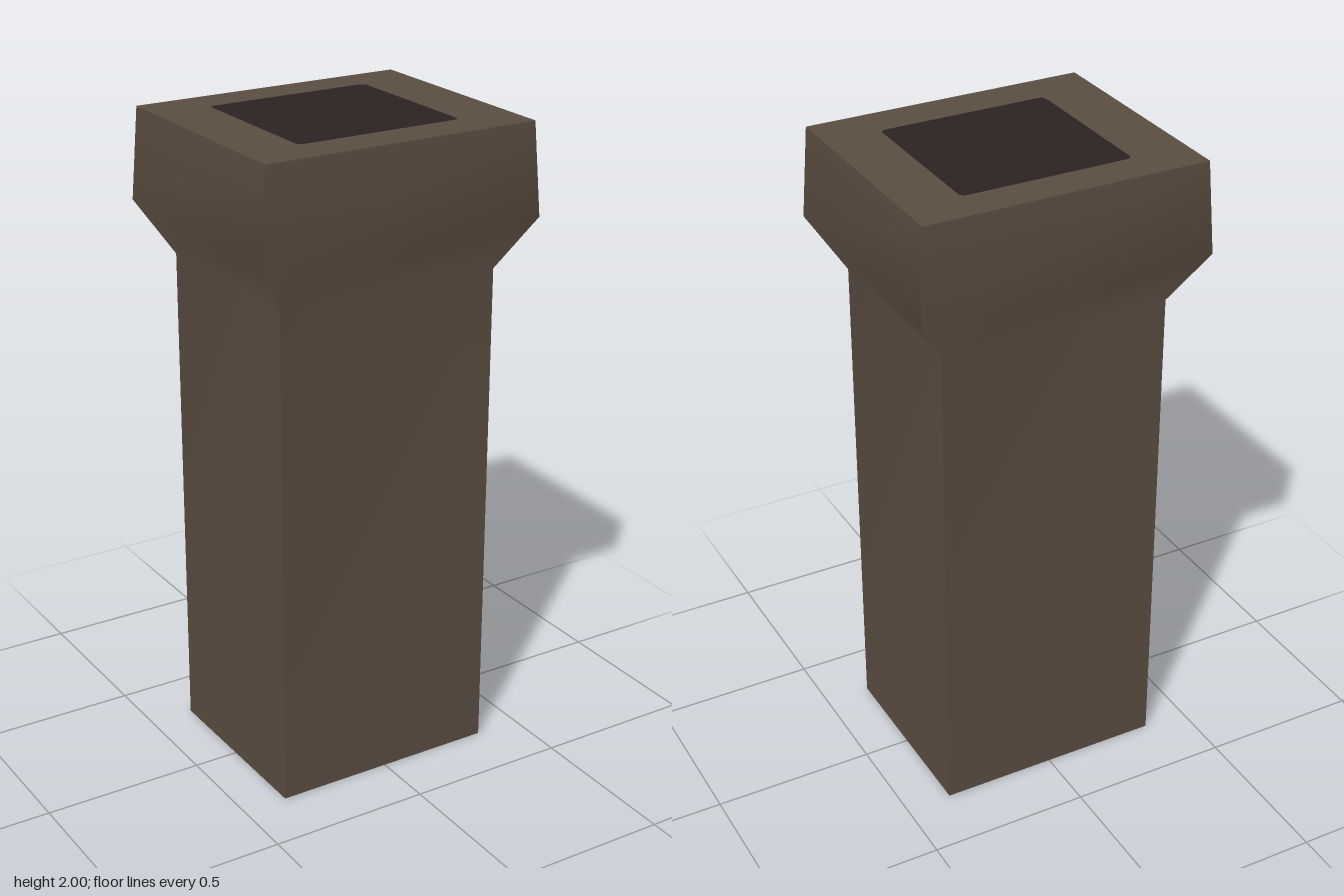
import * as THREE from 'three';

// Levels of the column from the ground up: height, half width, half depth, x shift, z shift
const LEVELS = [
  [0, 0.358, 0.303, -0.002, 0.002],
  [1.56, 0.358, 0.303, -0.002, 0.002],
  [1.72, 0.455, 0.384, 0, 0],
  [2, 0.438, 0.37, 0, 0],
];
const CORNERS = [[-1, 1], [1, 1], [1, -1], [-1, -1]];

// One side as an open strip, smooth up its height and sharp at the corners
function sideGeometry(side) {
  const ends = [CORNERS[side], CORNERS[(side + 1) % 4]];
  const positions = [], index = [];
  LEVELS.forEach(([y, w, d, dx, dz], i) => {
    for (const [sx, sz] of ends) positions.push(sx * w + dx, y, sz * d + dz);
    if (i > 0) {
      const a = 2 * i - 2;
      index.push(a, a + 1, a + 3, a, a + 3, a + 2);
    }
  });
  const geometry = new THREE.BufferGeometry();
  geometry.setAttribute('position', new THREE.Float32BufferAttribute(positions, 3));
  geometry.setIndex(index);
  geometry.computeVertexNormals();
  return geometry;
}

// Rectangle outline with small rounded corners
function roundedRect(target, x0, y0, x1, y1, r) {
  target.moveTo(x0 + r, y0);
  target.lineTo(x1 - r, y0);
  target.quadraticCurveTo(x1, y0, x1, y0 + r);
  target.lineTo(x1, y1 - r);
  target.quadraticCurveTo(x1, y1, x1 - r, y1);
  target.lineTo(x0 + r, y1);
  target.quadraticCurveTo(x0, y1, x0, y1 - r);
  target.lineTo(x0, y0 + r);
  target.quadraticCurveTo(x0, y0, x0 + r, y0);
  return target;
}

export function createModel() {
  const stone = new THREE.MeshStandardMaterial({ color: 0x5a4c40, side: THREE.DoubleSide });
  stone.name = 'brown stone';
  const soot = new THREE.MeshStandardMaterial({ color: 0x2d2222, side: THREE.DoubleSide });
  soot.name = 'dark soot';

  const model = new THREE.Group();
  model.name = 'chimney';
  const add = (name, geometry, material, parent = model) => {
    const mesh = new THREE.Mesh(geometry, material);
    mesh.name = name;
    parent.add(mesh);
  };

  // Four walls with the flared head, open underneath
  const walls = new THREE.Group();
  walls.name = 'walls';
  model.add(walls);
  ['frontWall', 'leftWall', 'backWall', 'rightWall'].forEach((name, i) =>
    add(name, sideGeometry(i), stone, walls));

  // Flat top: a stone rim around the dark flue opening
  const [top, w, d] = LEVELS[3];
  const flue = [-0.262, -0.245, 0.266, 0.254, 0.02];
  const rim = new THREE.Shape();
  rim.moveTo(-w, -d).lineTo(w, -d).lineTo(w, d).lineTo(-w, d).closePath();
  rim.holes.push(roundedRect(new THREE.Path(), ...flue));
  const lay = (shape) => new THREE.ShapeGeometry(shape, 4).rotateX(-Math.PI / 2).translate(0, top, 0);
  add('topRim', lay(rim), stone);
  add('flueOpening', lay(roundedRect(new THREE.Shape(), ...flue)), soot);

  return model;
}
